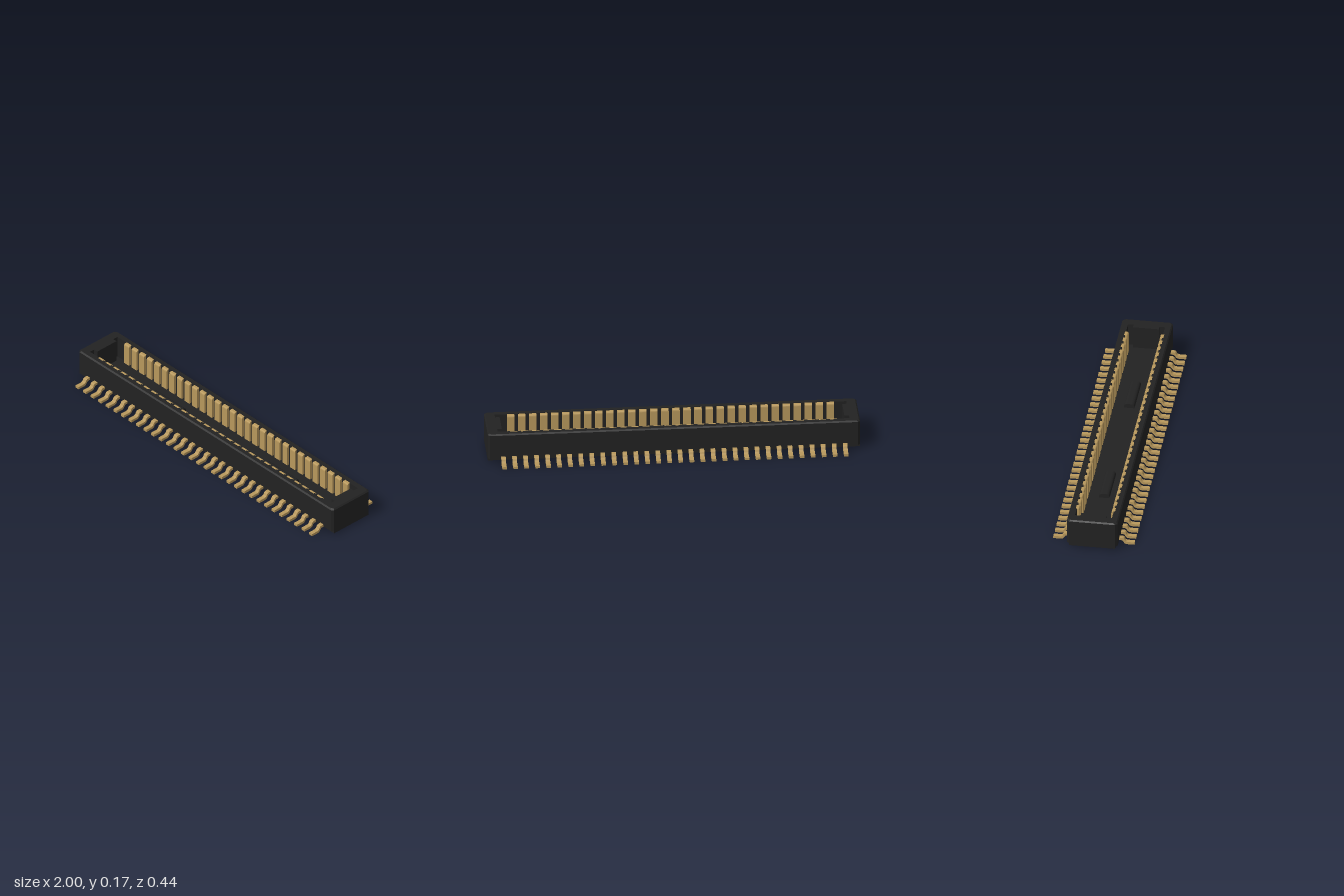
import * as THREE from 'three';

const body = new THREE.MeshStandardMaterial({ color: 0x222222 });
body.name = 'black plastic';
const gold = new THREE.MeshStandardMaterial({ color: 0xb8985c });
gold.name = 'gold';

const PITCH = 0.0592;
const row = (n) => Array.from({ length: n }, (_, i) => (i - (n - 1) / 2) * PITCH);
const pinXs = row(32);
const contactXs = row(30);
const toPoints = (list) => list.map(([x, y]) => new THREE.Vector2(x, y));

// Rectangle with cut corners, half sizes w and h
function cutRect(w, h, c) {
  return new THREE.Shape(toPoints([
    [w - c, -h], [w, c - h], [w, h - c], [w - c, h],
    [c - w, h], [-w, h - c], [-w, c - h], [c - w, -h],
  ]));
}

// Extrude a plan outline upward from y0 to y1
function slab(shape, y0, y1, steps = 1) {
  const g = new THREE.ExtrudeGeometry(shape, { depth: y1 - y0, steps, bevelEnabled: false });
  return g.rotateX(-Math.PI / 2).translate(0, y0, 0);
}

// Extrude a (z, y) profile to a given width, centred on x
function sideProfile(shape, width) {
  const g = new THREE.ExtrudeGeometry(shape, { depth: width, bevelEnabled: false, curveSegments: 8 });
  return g.rotateY(-Math.PI / 2).translate(width / 2, 0, 0);
}

// Walls around a cavity with corner notches and contact slots, outer rim chamfered
function wallGeometry() {
  const y0 = 0.04, y1 = 0.168, c = 0.007;
  const half = [[-0.92, 0.07], [-0.945, 0.07], [-0.945, 0.1]];
  for (const x of contactXs) {
    half.push([x - 0.02, 0.1], [x - 0.02, 0.107], [x + 0.02, 0.107], [x + 0.02, 0.1]);
  }
  half.push([0.945, 0.1], [0.945, 0.07], [0.92, 0.07]);
  const shape = cutRect(1, 0.137, 0.012);
  shape.holes.push(new THREE.Path(toPoints([...half, ...half.map(([x, z]) => [-x, -z])])));
  const g = slab(shape, y0, y1, 2);
  const p = g.attributes.position;
  for (let i = 0; i < p.count; i++) {
    const x = p.getX(i), y = p.getY(i), z = p.getZ(i);
    if (y > y1 - 0.001) {
      if (Math.abs(x) > 0.97) p.setX(i, x - Math.sign(x) * c);
      if (Math.abs(z) > 0.12) p.setZ(i, z - Math.sign(z) * c);
    } else if (y > y0 + 0.01) {
      p.setY(i, y1 - c);
    }
  }
  g.computeVertexNormals();
  return g;
}

// S-bent solder lead
function leadGeometry() {
  const s = new THREE.Shape();
  s.moveTo(0.115, 0.023);
  s.lineTo(0.146, 0.023);
  s.bezierCurveTo(0.164, 0.023, 0.158, 0, 0.18, 0);
  s.lineTo(0.22, 0);
  s.lineTo(0.22, 0.014);
  s.lineTo(0.184, 0.014);
  s.bezierCurveTo(0.16, 0.014, 0.172, 0.037, 0.152, 0.037);
  s.lineTo(0.115, 0.037);
  return sideProfile(s, 0.024);
}

// Upright contact blade with a rounded inner top edge
function contactGeometry() {
  const s = new THREE.Shape();
  s.moveTo(0.086, 0.035);
  s.lineTo(0.1065, 0.035);
  s.lineTo(0.1065, 0.165);
  s.lineTo(0.096, 0.165);
  s.quadraticCurveTo(0.086, 0.165, 0.086, 0.153);
  return sideProfile(s, 0.039);
}

// Low rounded key on the cavity floor
function keyGeometry() {
  const s = new THREE.Shape();
  s.moveTo(-0.028, 0.035);
  s.lineTo(0.028, 0.035);
  s.lineTo(0.028, 0.05);
  s.quadraticCurveTo(0.026, 0.062, 0.012, 0.064);
  s.lineTo(-0.012, 0.064);
  s.quadraticCurveTo(-0.026, 0.062, -0.028, 0.05);
  return sideProfile(s, 0.23);
}

export function createModel() {
  const model = new THREE.Group();
  model.name = 'boardConnector';
  const add = (parent, name, geometry, material, x = 0) => {
    const m = new THREE.Mesh(geometry, material);
    m.name = name;
    m.position.x = x;
    parent.add(m);
    return m;
  };

  // Housing
  const housing = new THREE.Group();
  housing.name = 'housing';
  model.add(housing);
  add(housing, 'base', new THREE.BoxGeometry(2, 0.02, 0.25).translate(0, 0.02, 0), body);
  add(housing, 'floor', slab(cutRect(1, 0.137, 0.012), 0.023, 0.04), body);
  add(housing, 'walls', wallGeometry(), body);
  const key = keyGeometry();
  for (const x of [-0.445, 0.445]) add(housing, 'floorKey', key, body, x);

  // Two mirrored rows of leads and contacts
  const lead = leadGeometry();
  const contact = contactGeometry();
  for (const [name, turn] of [['frontRow', 0], ['backRow', Math.PI]]) {
    const side = new THREE.Group();
    side.name = name;
    side.rotation.y = turn;
    for (const x of pinXs) add(side, 'lead', lead, gold, x);
    for (const x of contactXs) add(side, 'contact', contact, gold, x);
    model.add(side);
  }
  return model;
}
